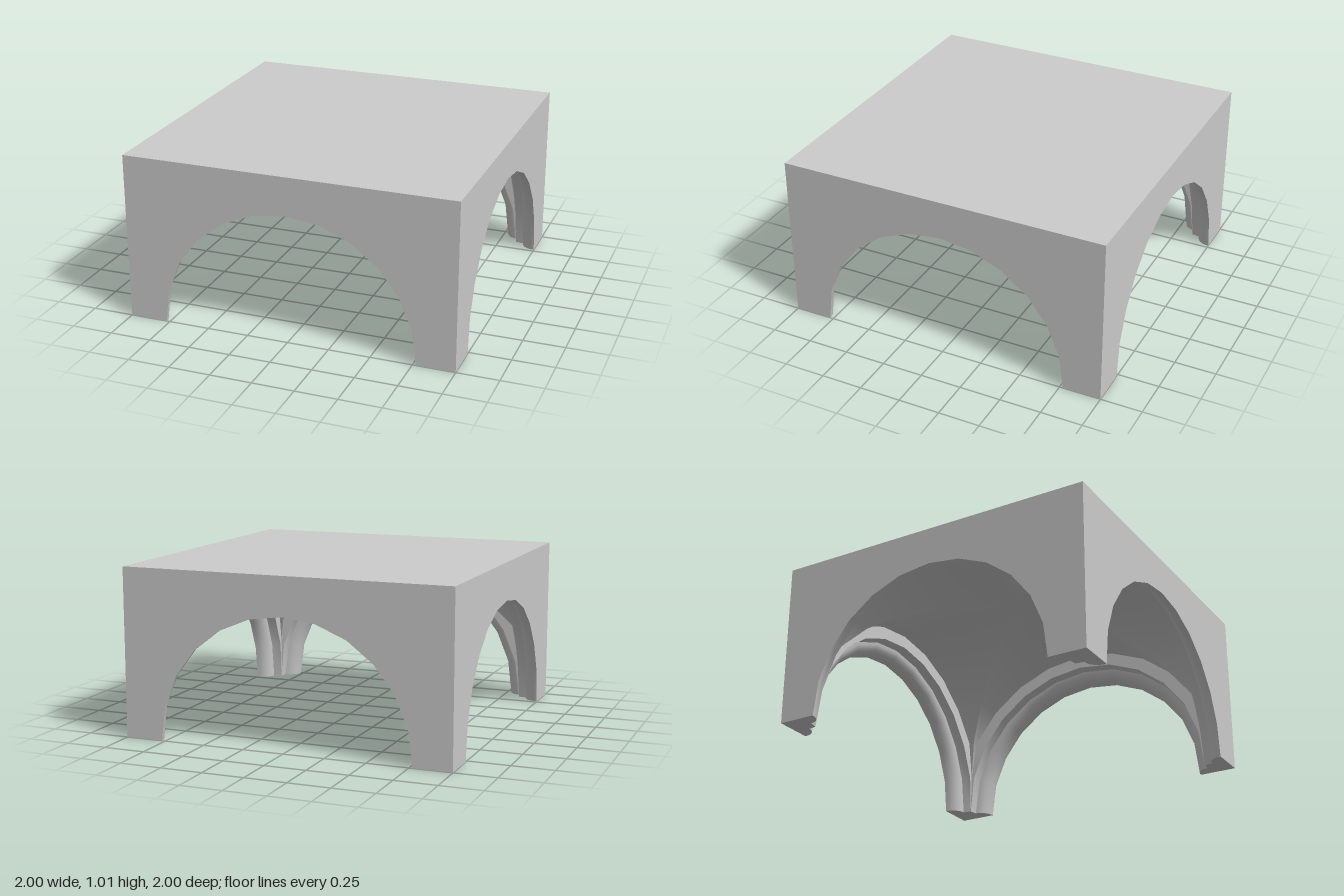
import * as THREE from 'three';
import { toCreasedNormals } from 'three/addons/utils/BufferGeometryUtils.js';

const HEIGHT = 1.01, SPRING = 0.01, SEGMENTS = 12;
const OPENING = 0.77, VAULT = 0.94;

// Arch moulding as [depth behind the wall face, radius]: round roll, reveal, flat band, vault
function archProfile() {
  const points = [];
  for (let i = 0; i <= 6; i++) {
    const a = (i / 6) * Math.PI / 2;
    points.push([0.09 * Math.sin(a), OPENING + 0.08 * (1 - Math.cos(a))]);
  }
  points.push([0.15, 0.86], [0.15, VAULT], [1, VAULT]);
  return points;
}

// Cut the profile where it meets the diagonal groin; later points collapse onto the cut
function clippedRow(profile, angle) {
  const c = Math.abs(Math.cos(angle));
  const reach = ([d, r]) => d + r * c;
  let cut = null;
  return profile.map((p, i) => {
    if (!cut && i > 0 && reach(p) >= 1) {
      const q = profile[i - 1];
      const t = (1 - reach(q)) / (reach(p) - reach(q));
      cut = [q[0] + (p[0] - q[0]) * t, q[1] + (p[1] - q[1]) * t];
    }
    return cut || p;
  });
}

// Moulded arch and its quarter of the groin vault, on the +z side
function vaultGeometry(profile) {
  const rows = [];
  for (let i = 0; i <= SEGMENTS; i++) {
    const a = (i / SEGMENTS) * Math.PI;
    const atFoot = i === 0 || i === SEGMENTS;
    rows.push(clippedRow(profile, a).map(([d, r]) => new THREE.Vector3(
      r * Math.cos(a), atFoot ? 0 : SPRING + r * Math.sin(a), 1 - d)));
  }
  const positions = [];
  const triangle = (a, b, c) => {
    const area = b.clone().sub(a).cross(c.clone().sub(a)).length();
    if (area > 1e-8) for (const p of [a, b, c]) positions.push(p.x, p.y, p.z);
  };
  for (let i = 0; i < SEGMENTS; i++) {
    for (let j = 0; j < profile.length - 1; j++) {
      const a = rows[i][j], b = rows[i + 1][j], c = rows[i + 1][j + 1], d = rows[i][j + 1];
      triangle(a, b, c);
      triangle(a, c, d);
    }
  }
  const geometry = new THREE.BufferGeometry();
  geometry.setAttribute('position', new THREE.Float32BufferAttribute(positions, 3));
  return toCreasedNormals(geometry, THREE.MathUtils.degToRad(32));
}

// Outer wall face with the arched opening
function wallGeometry() {
  const shape = new THREE.Shape();
  shape.moveTo(-1, 0);
  for (let i = SEGMENTS; i >= 0; i--) {
    const a = (i / SEGMENTS) * Math.PI;
    const y = i === 0 || i === SEGMENTS ? 0 : SPRING + OPENING * Math.sin(a);
    shape.lineTo(OPENING * Math.cos(a), y);
  }
  shape.lineTo(1, 0);
  shape.lineTo(1, HEIGHT);
  shape.lineTo(-1, HEIGHT);
  return new THREE.ShapeGeometry(shape).translate(0, 0, 1);
}

// Underside of one pier, mirrored about the groin diagonal
function footGeometry(profile) {
  const side = clippedRow(profile, 0).map(([d, r]) => new THREE.Vector2(r, 1 - d))
    .filter((p, i, all) => i === 0 || p.distanceTo(all[i - 1]) > 1e-6);
  const mirrored = side.slice(0, -1).reverse().map((p) => new THREE.Vector2(p.y, p.x));
  const shape = new THREE.Shape([new THREE.Vector2(1, 1), ...side, ...mirrored]);
  return new THREE.ShapeGeometry(shape).rotateX(Math.PI / 2);
}

export function createModel() {
  const model = new THREE.Group();
  model.name = 'vaultedBay';
  const material = new THREE.MeshStandardMaterial({ color: 0xcccccc });
  const profile = archProfile();
  const parts = {
    wall: wallGeometry(),
    archAndVault: vaultGeometry(profile),
    pierFoot: footGeometry(profile),
  };

  // Four identical sides
  for (let i = 0; i < 4; i++) {
    const side = new THREE.Group();
    side.name = ['front', 'left', 'back', 'right'][i] + 'Side';
    side.rotation.y = i * Math.PI / 2;
    for (const [name, geometry] of Object.entries(parts)) {
      const mesh = new THREE.Mesh(geometry, material);
      mesh.name = name;
      side.add(mesh);
    }
    model.add(side);
  }

  // Flat top
  const top = new THREE.Mesh(new THREE.PlaneGeometry(2, 2).rotateX(-Math.PI / 2), material);
  top.name = 'top';
  top.position.y = HEIGHT;
  model.add(top);
  return model;
}
